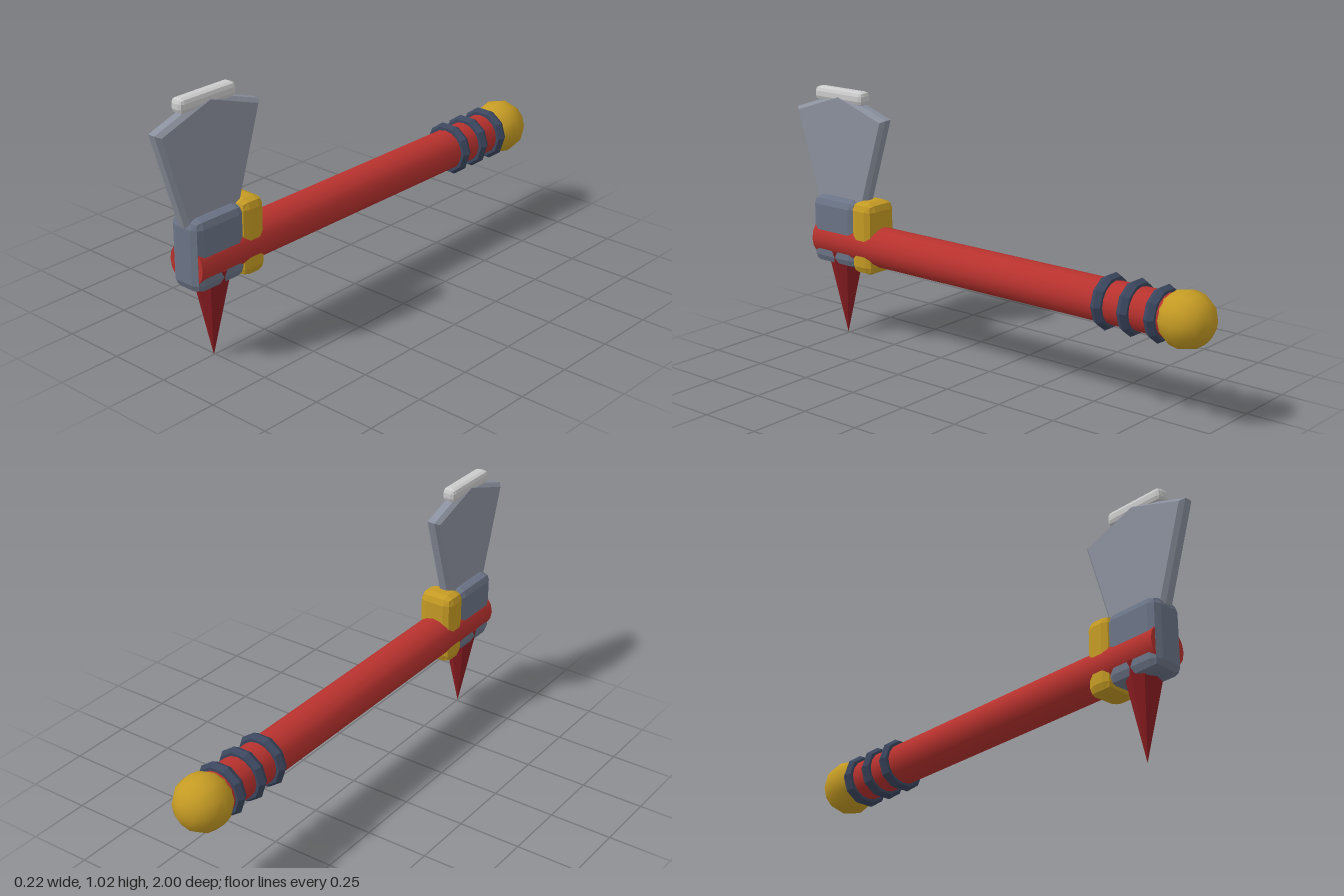
import * as THREE from 'three';
import { RoundedBoxGeometry } from 'three/addons/geometries/RoundedBoxGeometry.js';

const AXIS_Y = 0.4;   // height of the handle axis
const HEAD_Z = 0.757; // centre of the axe head

export function createModel() {
  const model = new THREE.Group();
  model.name = 'hatchet';

  const paint = (color, flatShading = true) => new THREE.MeshStandardMaterial({ color, flatShading });
  const red = paint(0xb8322e, false);
  const darkRed = paint(0x8c1d22);
  const steel = paint(0x8b919e);
  const slate = paint(0x6b7486);
  const navy = paint(0x3b465e);
  const gold = paint(0xc59b24);
  const smoothGold = paint(0xc59b24, false);
  const silver = paint(0xcccccc);

  const add = (name, geometry, material, y, z) => {
    const mesh = new THREE.Mesh(geometry, material);
    mesh.name = name;
    mesh.position.set(0, y, z);
    model.add(mesh);
    return mesh;
  };
  // Box with single-step chamfered edges
  const chamferBox = (w, h, d, r) => new RoundedBoxGeometry(w, h, d, 1, r);

  // Handle with pommel ball and grip rings
  const handle = new THREE.CylinderGeometry(0.082, 0.082, 1.72, 16).rotateX(Math.PI / 2);
  add('handle', handle, red, AXIS_Y, 0.01);
  add('pommel', new THREE.SphereGeometry(0.109, 12, 8).rotateX(Math.PI / 2), smoothGold, AXIS_Y, -0.891);
  [-0.565, -0.678, -0.793].forEach((z, i) =>
    add(`gripRing${i + 1}`, new THREE.TorusGeometry(0.083, 0.025, 6, 10), navy, AXIS_Y, z));

  // Head block and the collar behind it
  add('headBlock', chamferBox(0.14, 0.28, 0.235, 0.034), slate, 0.44, 0.763);
  add('collar', chamferBox(0.15, 0.297, 0.113, 0.034), gold, 0.437, 0.607);

  // Flared blade, its outline drawn in z and y
  const outline = new THREE.Shape([
    [0.128, 0.55], [0.243, 0.922], [0, 1.004], [-0.243, 0.922], [-0.128, 0.55],
  ].map(([z, y]) => new THREE.Vector2(z, y)));
  const blade = new THREE.ExtrudeGeometry(outline, {
    depth: 0.03, bevelEnabled: true, bevelThickness: 0.015,
    bevelSize: 0.015, bevelOffset: -0.015, bevelSegments: 1,
  });
  blade.translate(0, 0, -0.015).rotateY(-Math.PI / 2);
  add('blade', blade, steel, 0, HEAD_Z);

  // Bright cap along the peak of the blade
  add('bladeCap', chamferBox(0.058, 0.056, 0.26, 0.018), silver, 0.992, 0.76);

  // Spike pointing down
  add('spike', new THREE.ConeGeometry(0.076, 0.36, 8).rotateX(Math.PI), darkRed, 0.18, HEAD_Z);

  return model;
}
